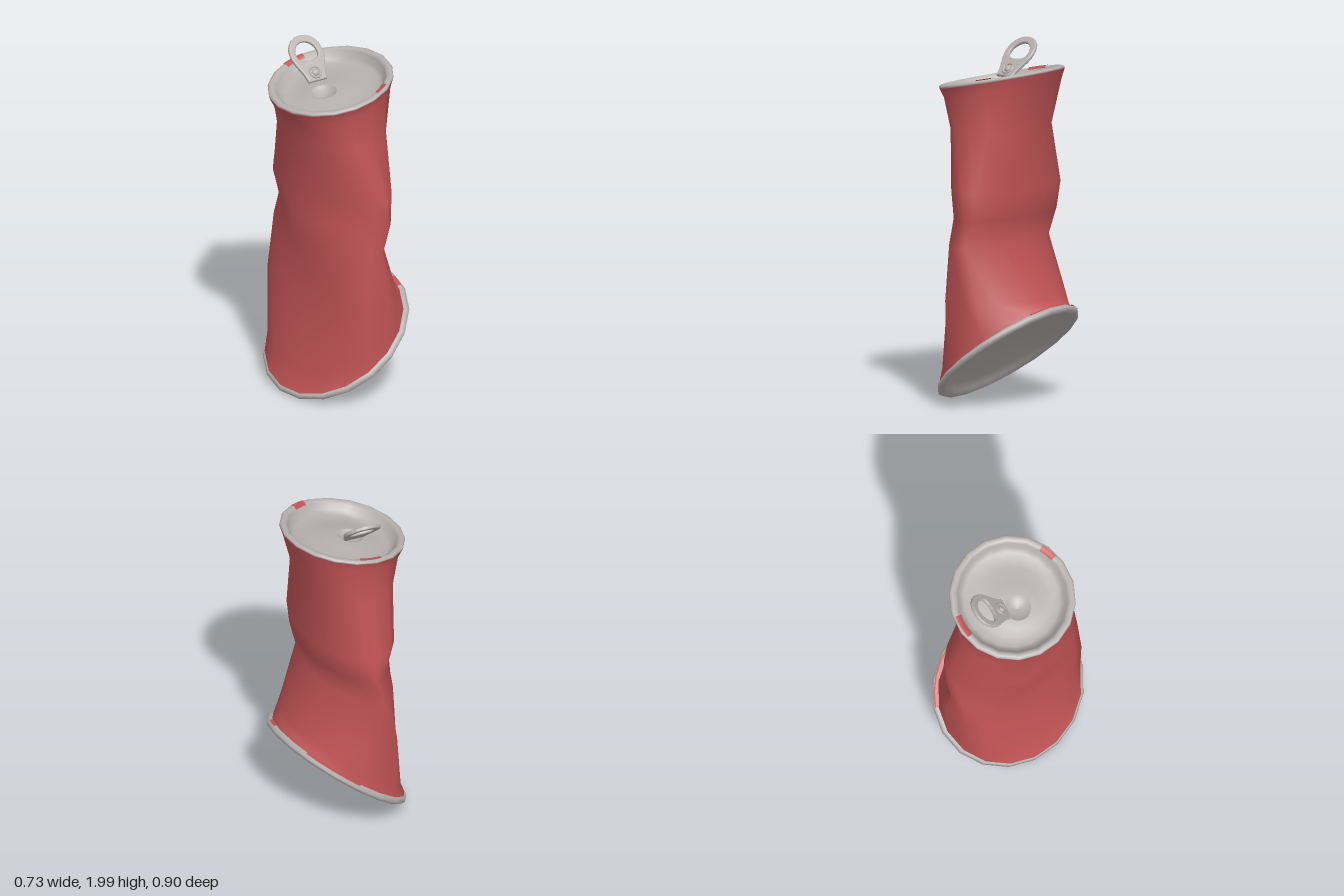
import * as THREE from 'three';

const SIDES = 18;
const red = new THREE.MeshStandardMaterial({ color: 0xc05355, side: THREE.DoubleSide });
red.name = 'red paint';
const silver = new THREE.MeshStandardMaterial({ color: 0xb5b0ae, side: THREE.DoubleSide });
silver.name = 'bare metal';

function add(parent, name, geometry, material) {
  const mesh = new THREE.Mesh(geometry, material);
  mesh.name = name;
  parent.add(mesh);
  return mesh;
}

// Crushed wall. Each ring: left x, left y, right x, right y, half depth, x of the
// front and back folds, and the pinch of its four corners (+x+z, +x-z, -x-z, -x+z)
function crushedWall() {
  const rings = [
    [-0.336, 0.041, 0.328, 0.551, 0.425, -0.004, [0, 0, 0, 0]],
    [-0.285, 0.15, 0.312, 0.57, 0.42, 0.01, [0.05, 0.05, -0.25, -0.25]],
    [-0.2, 0.6, 0.28, 0.6, 0.42, 0.015, [0.4, 0.3, -0.65, -0.65]],
    [-0.24, 0.9, 0.15, 0.9, 0.42, -0.035, [0.6, 0.6, 0.3, 0.2]],
    [-0.24, 1.05, 0.185, 1.05, 0.42, 0.01, [0.35, 0.3, 0.6, 0.4]],
    [-0.235, 1.2, 0.215, 1.2, 0.42, 0, [0.25, 0.05, -0.1, 0.15]],
    [-0.27, 1.53, 0.2, 1.53, 0.328, -0.02, [-0.4, -0.05, -0.2, -0.2]],
    [-0.341, 1.676, 0.292, 1.807, 0.33, -0.022, [0, 0, 0, 0]],
    [-0.368, 1.725, 0.31, 1.863, 0.346, -0.029, [0, 0, 0, 0]],
  ];
  const positions = [], index = [], widest = Math.sin(Math.PI * 4 / 9);
  rings.forEach(([xl, yl, xr, yr, depth, fold, pinch], i) => {
    for (let j = 0; j < SIDES; j++) {
      const t = (j / SIDES) * Math.PI * 2;
      const corner = pinch[Math.floor((j / SIDES) * 4)];
      // the fold lines themselves stay exactly at x = fold
      const reach = j % (SIDES / 2) === 0 ? 0 : (Math.abs(Math.sin(t)) / widest) ** (1 + corner);
      const x = fold + reach * ((t < Math.PI ? xr : xl) - fold);
      positions.push(x, yl + (yr - yl) * (x - xl) / (xr - xl), depth * Math.cos(t));
      if (i === rings.length - 1) continue;
      const a = i * SIDES + j, b = i * SIDES + ((j + 1) % SIDES);
      index.push(a, b, a + SIDES, b, b + SIDES, a + SIDES);
    }
  });
  const g = new THREE.BufferGeometry();
  g.setAttribute('position', new THREE.Float32BufferAttribute(positions, 3));
  g.setIndex(index);
  g.computeVertexNormals();
  return g;
}

function lathe(points, segments = SIDES, start = 0, length = Math.PI * 2) {
  return new THREE.LatheGeometry(points.map(([r, y]) => new THREE.Vector2(r, y)), segments, start, length);
}

// Pull tab: tapered plate with a finger hole and a rivet
function pullTab() {
  const tab = new THREE.Group();
  tab.name = 'pullTab';
  const s = new THREE.Shape();
  s.moveTo(-0.052, 0.005);
  s.lineTo(0.052, 0.005);
  s.bezierCurveTo(0.062, 0.08, 0.096, 0.11, 0.096, 0.17);
  s.bezierCurveTo(0.096, 0.3, -0.096, 0.3, -0.096, 0.17);
  s.bezierCurveTo(-0.096, 0.11, -0.062, 0.08, -0.052, 0.005);
  const hole = new THREE.Path();
  hole.moveTo(-0.055, 0.125);
  hole.bezierCurveTo(-0.03, 0.108, 0.03, 0.108, 0.055, 0.125);
  hole.bezierCurveTo(0.08, 0.135, 0.08, 0.175, 0.067, 0.2);
  hole.bezierCurveTo(0.035, 0.255, -0.035, 0.255, -0.067, 0.2);
  hole.bezierCurveTo(-0.08, 0.175, -0.08, 0.135, -0.055, 0.125);
  s.holes.push(hole);
  const plate = new THREE.ExtrudeGeometry(s, {
    depth: 0.006, bevelThickness: 0.008, bevelSize: 0.008, bevelSegments: 3, curveSegments: 10,
  });
  add(tab, 'tabPlate', plate, silver);
  add(tab, 'rivetRing', new THREE.TorusGeometry(0.032, 0.007, 8, 20), silver).position.set(0, 0.048, 0.014);
  const rivet = add(tab, 'rivet', new THREE.SphereGeometry(0.019, 14, 10), silver);
  rivet.position.set(0, 0.045, 0.014);
  rivet.scale.z = 0.7;
  tab.rotation.order = 'YXZ';
  tab.rotation.set(-0.78, -0.18, 0);
  tab.position.set(-0.06, 1.79, -0.072);
  return tab;
}

export function createModel() {
  const can = new THREE.Group();
  can.name = 'crushedCan';
  add(can, 'wall', crushedWall(), red);

  // Top: rolled rim, sunken panel rising to an off-centre dimple
  const lid = lathe([
    [0.345, -0.007], [0.351, -0.002], [0.349, 0.006], [0.338, 0.013], [0.32, 0.012], [0.306, 0],
    [0.292, -0.035], [0.265, -0.054], [0.2, -0.055], [0.13, -0.044], [0.075, -0.034],
    [0.07, -0.04], [0.04, -0.062], [0, -0.07],
  ]);
  const p = lid.attributes.position;
  for (let i = 0; i < p.count; i++) {
    const r = Math.hypot(p.getX(i), p.getZ(i));
    p.setX(i, p.getX(i) - 0.06 * THREE.MathUtils.clamp((0.25 - r) / 0.17, 0, 1));
  }
  const top = add(can, 'lid', lid, silver);
  top.position.set(-0.03, 1.8, 0);
  top.rotation.z = 0.2;
  can.add(pullTab());

  // Base: hollow dish inside a rolled rim
  const base = add(can, 'base', lathe([
    [0, 0.075], [0.12, 0.069], [0.24, 0.05], [0.34, 0.024], [0.395, 0],
    [0.414, -0.018], [0.436, -0.016], [0.45, 0.002], [0.438, 0.02], [0.412, 0.022],
  ]), silver);
  base.position.set(0.012, 0.28, 0);
  base.rotation.z = 0.66;

  // Stray paint on the rims: [rim, profile, start angle, sweep]
  const topPaint = [[0.337, 0.017], [0.318, 0.017], [0.302, 0.004]];
  const basePaint = [[0.444, 0.017], [0.436, 0.025], [0.406, 0.026]];
  for (const [rim, profile, start, sweep] of [
    [top, topPaint, Math.PI - 0.28, 0.4],
    [top, topPaint, 0.15, 0.28],
    [base, basePaint, Math.PI - 1.15, 0.8],
    [base, basePaint, 1.1, 0.2],
  ]) add(rim, 'paintPatch', lathe(profile, 4, start, sweep), red);
  return can;
}
